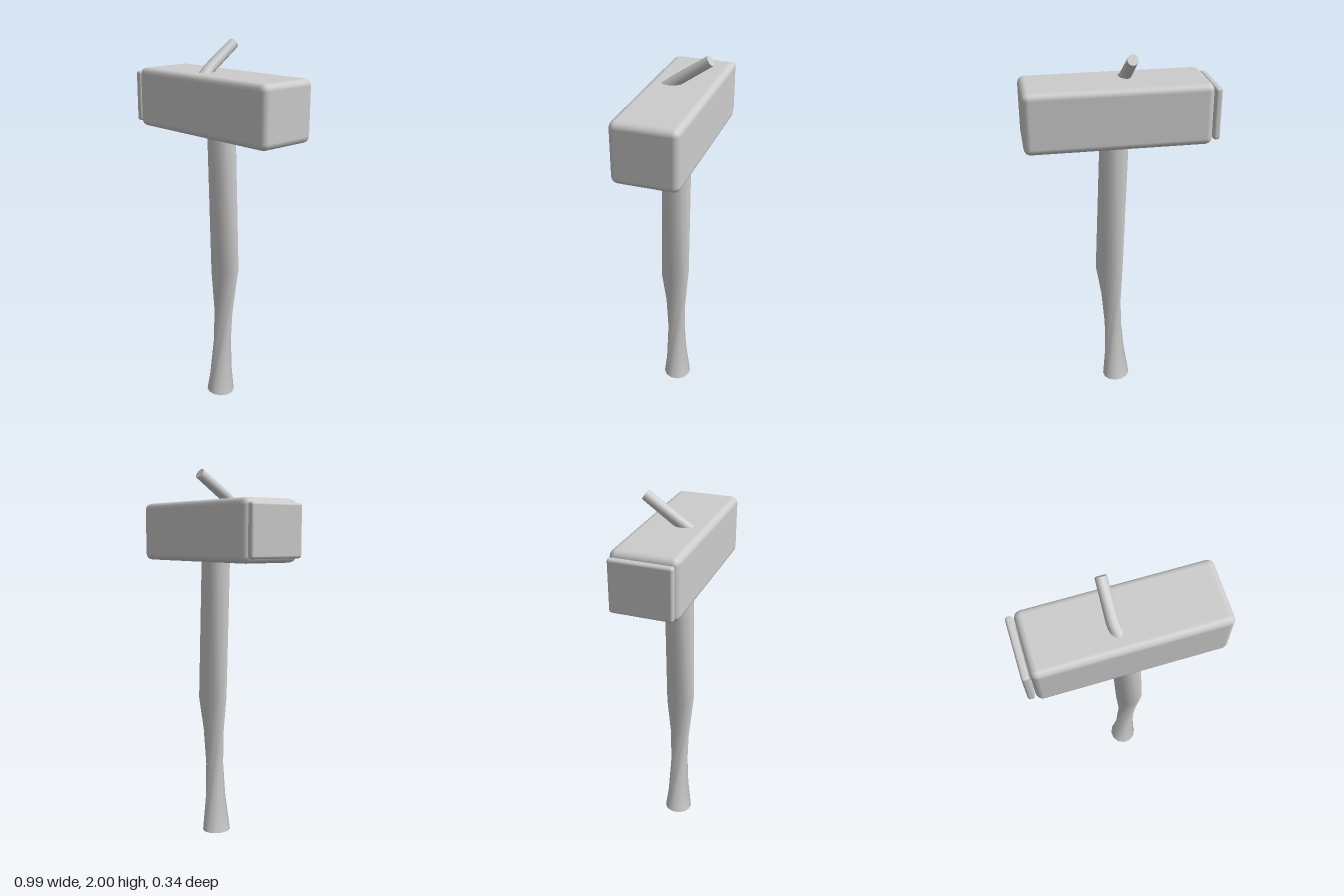
import * as THREE from 'three';
import { RoundedBoxGeometry } from 'three/addons/geometries/RoundedBoxGeometry.js';

const SIDES = 12;

// Skin a tube over rings: { c: centre, n: axis, r: radius, twist: degrees }
function loft(rings) {
  const pos = [], idx = [];
  const addRing = ({ c, n, r, twist = 0 }) => {
    const axis = new THREE.Vector3(...n).normalize();
    const v = new THREE.Vector3().crossVectors(axis, new THREE.Vector3(1, 0, 0)).normalize();
    const u = new THREE.Vector3().crossVectors(v, axis);
    for (let i = 0; i < SIDES; i++) {
      const a = (i / SIDES) * Math.PI * 2 + THREE.MathUtils.degToRad(twist);
      const p = new THREE.Vector3(...c).addScaledVector(u, r * Math.cos(a)).addScaledVector(v, r * Math.sin(a));
      pos.push(p.x, p.y, p.z);
    }
  };
  rings.forEach(addRing);
  for (let k = 0; k < rings.length - 1; k++) {
    for (let i = 0; i < SIDES; i++) {
      const a = k * SIDES + i, b = k * SIDES + ((i + 1) % SIDES);
      idx.push(a, b, a + SIDES, b, b + SIDES, a + SIDES);
    }
  }
  // End caps with their own vertices keep the rims sharp
  [rings[0], rings[rings.length - 1]].forEach((ring, end) => {
    const start = pos.length / 3;
    addRing(ring);
    pos.push(...ring.c);
    for (let i = 0; i < SIDES; i++) {
      const a = start + i, b = start + ((i + 1) % SIDES), m = start + SIDES;
      if (end) idx.push(m, a, b);
      else idx.push(m, b, a);
    }
  });
  const g = new THREE.BufferGeometry();
  g.setAttribute('position', new THREE.Float32BufferAttribute(pos, 3));
  g.setIndex(idx);
  g.computeVertexNormals();
  return g;
}

export function createModel() {
  const group = new THREE.Group();
  const grey = new THREE.MeshStandardMaterial({ color: 0xcccccc });
  grey.name = 'plain grey';

  const add = (name, geometry, x = 0, y = 0, z = 0) => {
    const mesh = new THREE.Mesh(geometry, grey);
    mesh.name = name;
    mesh.position.set(x, y, z);
    group.add(mesh);
  };

  // Hammer head and the thin striking plate on one end
  add('head', new RoundedBoxGeometry(0.95, 0.316, 0.343, 2, 0.035), 0.018, 1.685, 0);
  add('strikingPlate', new RoundedBoxGeometry(0.037, 0.27, 0.32, 2, 0.014), -0.479, 1.685, 0);

  // Handle: straight above, wrung into a narrow waist below
  add('handle', loft([
    { c: [0.015, 0.006, 0], n: [0.06, 1, 0], r: 0.077, twist: -130 },
    { c: [0.05, 0.77, 0], n: [0, 1, 0], r: 0.077 },
    { c: [0.018, 1.6, 0], n: [0, 1, 0], r: 0.077 },
  ]));

  // Slanted peg leaning back out of the top of the head
  const lean = [0, 0.57, -0.82];
  add('peg', loft([
    { c: [-0.03, 1.80, 0.10], n: lean, r: 0.034 },
    { c: [-0.045, 1.86, 0.025], n: lean, r: 0.03 },
    { c: [-0.046, 1.978, -0.148], n: lean, r: 0.028 },
  ]));

  return group;
}
